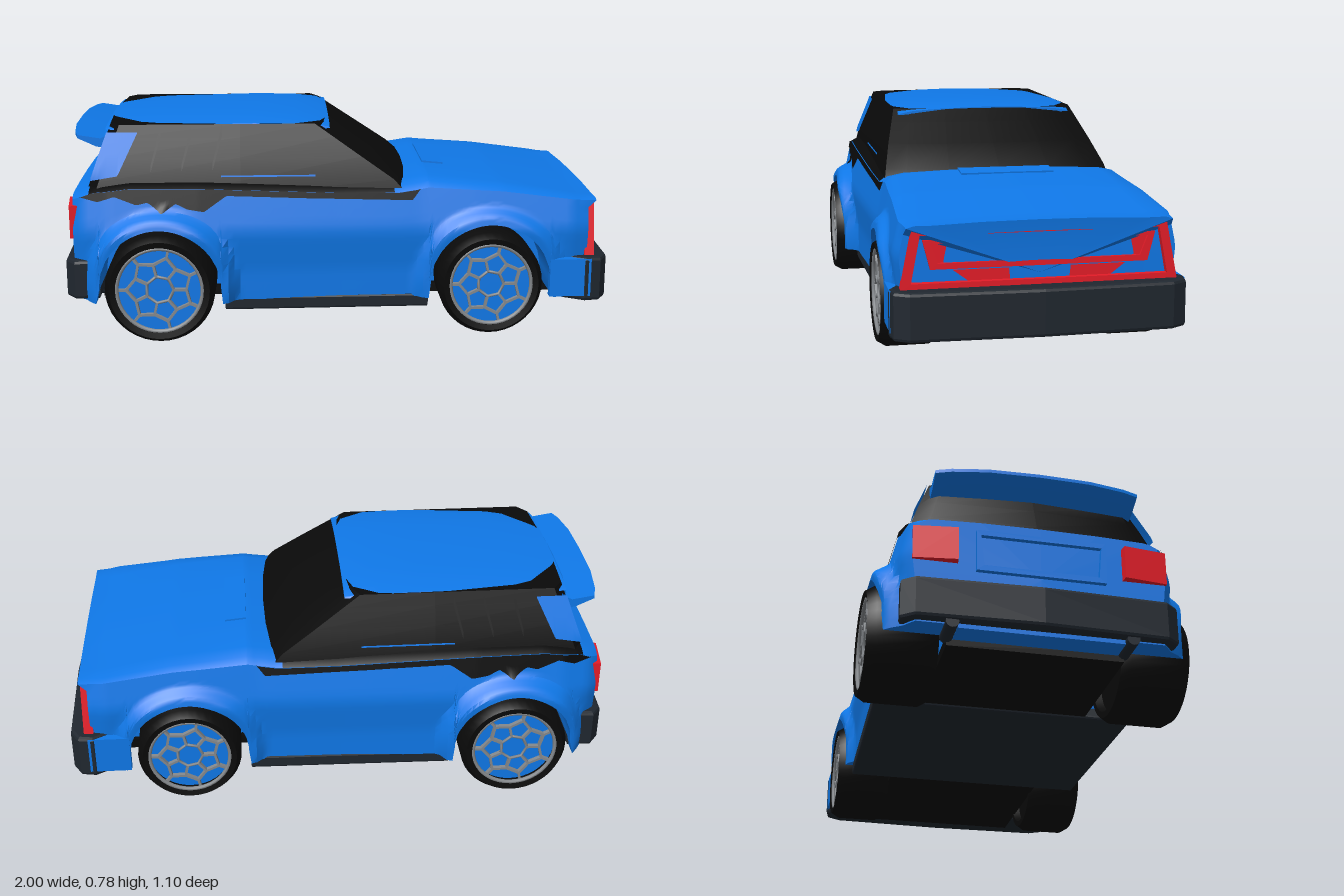
import * as THREE from 'three';
import { toCreasedNormals } from 'three/addons/utils/BufferGeometryUtils.js';

const mat = (color, side = THREE.FrontSide) => new THREE.MeshStandardMaterial({ color, side });
const BLUE = mat(0x0f78e8), BLACK = mat(0x0a0a0a), DARK = mat(0x20272f), RED = mat(0xe51c28), GREY = mat(0x85898d);
const BLUE2 = mat(0x0f78e8, THREE.DoubleSide), BLACK2 = mat(0x0a0a0a, THREE.DoubleSide);
const WHEELS = [
  { name: 'rearWheel', x: -0.64, R: 0.197, z: 0.432, w: 0.24, flare: 0.05 },
  { name: 'frontWheel', x: 0.555, R: 0.19, z: 0.4, w: 0.21, flare: 0.03 },
];
const ARCH = 0.218, AXLE = 0.198;

// piecewise linear lookup through [x, value] pairs
function lerpPts(pts, x) {
  if (x <= pts[0][0]) return pts[0][1];
  for (let i = 1; i < pts.length; i++) {
    const [a, va] = pts[i - 1], [b, vb] = pts[i];
    if (x <= b) return va + (vb - va) * (x - a) / (b - a);
  }
  return pts[pts.length - 1][1];
}

// skin closed rings of [x,y,z] with end caps; pick(i,j) = 1 selects the second material
function loft(name, rings, mats, pick = () => 0, crease = 0.5) {
  const n = rings[0].length, pos = rings.flat(2), idx = [[], []];
  for (let i = 0; i < rings.length - 1; i++) for (let j = 0; j < n; j++) {
    const a = i * n + j, b = i * n + (j + 1) % n;
    idx[pick(i, j)].push(a, b, a + n, b, b + n, a + n);
  }
  [0, rings.length - 1].forEach((r, end) => {
    const c = [0, 1, 2].map(k => rings[r].reduce((s, p) => s + p[k], 0) / n), ci = pos.length / 3;
    pos.push(...c);
    for (let j = 0; j < n; j++) {
      const a = r * n + j, b = r * n + (j + 1) % n;
      idx[0].push(...(end ? [a, b, ci] : [b, a, ci]));
    }
  });
  // turn all faces outward
  let vol = 0;
  const v = i => new THREE.Vector3(...pos.slice(i * 3, i * 3 + 3));
  for (const t of idx) for (let k = 0; k < t.length; k += 3) vol += v(t[k]).dot(v(t[k + 1]).cross(v(t[k + 2])));
  if (vol < 0) idx.forEach(t => t.reverse());
  let g = new THREE.BufferGeometry();
  g.setAttribute('position', new THREE.Float32BufferAttribute(pos, 3));
  g.setIndex([...idx[0], ...idx[1]]);
  g.addGroup(0, idx[0].length, 0);
  g.addGroup(idx[0].length, idx[1].length, 1);
  g = toCreasedNormals(g, crease);
  const m = new THREE.Mesh(g, mats);
  m.name = name;
  return m;
}
// full ring from a half section of [z, y] running from top centre to bottom centre
const mirrorRing = (x, half) => [...half, ...half.slice(1, -1).reverse().map(([z, y, dx]) => [-z, y, dx])]
  .map(([z, y, dx = 0]) => [x + dx, y, z]);

// body shape rules
const topY = x => lerpPts([[-0.955, 0.53], [-0.88, 0.56], [-0.75, 0.578], [-0.5, 0.58], [0, 0.565], [0.22, 0.565], [0.33, 0.582], [0.6, 0.556], [0.92, 0.505]], x);
const shoulderY = x => topY(x) - lerpPts([[-0.9, 0.025], [0.3, 0.04], [0.9, 0.015]], x);
const width = x => lerpPts([[-0.955, 0.43], [-0.92, 0.46], [-0.82, 0.485], [-0.5, 0.49], [0, 0.475], [0.3, 0.468], [0.5, 0.475], [0.85, 0.48], [0.91, 0.465]], x);
const archY = x => {
  for (const w of WHEELS) if (Math.abs(x - w.x) < ARCH) return AXLE + Math.sqrt(ARCH ** 2 - (x - w.x) ** 2);
  return 0.14;
};
function sideZ(x, y) {
  let z = width(x) - 0.22 * Math.max(0, y - 0.4) - (y < 0.38 ? 0.12 * Math.min(0.38 - y, 0.13) : 0);
  for (const w of WHEELS) z += w.flare * (1 - THREE.MathUtils.smoothstep(Math.hypot(x - w.x, y - AXLE), 0.24, 0.285));
  return z;
}
const cabinW = y => lerpPts([[0.52, 0.43], [0.6, 0.412], [0.765, 0.352]], y);

function buildBody() {
  const xs = [];
  for (let i = 0; i <= 90; i++) xs.push(-0.955 + 1.865 * i / 90);
  for (const w of WHEELS) for (const s of [-1, 1]) xs.push(w.x + s * ARCH, w.x + s * (ARCH - 0.001), w.x + s * (ARCH - 0.008));
  xs.sort((a, b) => a - b);
  const rows = 14;
  const rings = xs.map((x, i) => {
    const T = topY(x), S = shoulderY(x), B = archY(x), lip = i === xs.length - 1 ? 0.03 : 0;
    const zs = sideZ(x, S);
    const half = [[0, T, lip], [0.2, T - 0.002, lip], [0.36, T - 0.008, lip], [zs - 0.025, (T + S) / 2, lip]];
    for (let k = 0; k <= rows; k++) {
      const y = S + (B - S) * k / rows;
      half.push([sideZ(x, y), y, k < 1 ? lip : 0]);
    }
    half.push([0.28, B], [0.28, 0.13], [0, 0.13]);
    return mirrorRing(x, half);
  });
  const n = rings[0].length;
  // dark shelf beside the cabin
  return loft('body', rings, [BLUE, BLACK], (i, j) =>
    xs[i] > -0.9 && xs[i] < 0.2 && [2, 3, n - 3, n - 4].includes(j) ? 1 : 0);
}

// thin patch laid on both sides of the car between two edge lines
function sidePatch(group, name, top, bottom, zAt, material, cols = 90, rows = 4) {
  const x0 = bottom[0][0], x1 = bottom[bottom.length - 1][0];
  for (const s of [1, -1]) {
    const g = new THREE.PlaneGeometry(1, 1, cols, rows), p = g.attributes.position;
    for (let i = 0; i < p.count; i++) {
      const x = x0 + (x1 - x0) * (p.getX(i) + 0.5), t = p.getY(i) + 0.5;
      const b = lerpPts(bottom, x), y = b + Math.max(0, top(x) - b) * t;
      p.setXYZ(i, x, y, s * (zAt(x, y) + 0.004));
    }
    if (s < 0) g.index.array.reverse();
    g.computeVertexNormals();
    const m = new THREE.Mesh(g, material);
    m.name = name;
    group.add(m);
  }
}

function buildCabin() {
  const g = new THREE.Group();
  g.name = 'cabin';
  const rings = [0.52, 0.57, 0.65, 0.72, 0.765].map(y => {
    const f = lerpPts([[0.52, 0.31], [0.57, 0.265], [0.765, -0.02]], y), r = lerpPts([[0.52, -0.925], [0.765, -0.835]], y), w = cabinW(y);
    const half = [[f, 0], [f - 0.008, 0.45 * w], [f - 0.03, 0.82 * w], [f - 0.06, w], [-0.35, w], [r + 0.05, w], [r + 0.015, 0.86 * w], [r, 0]];
    return [...half, ...half.slice(1, -1).reverse().map(([x, z]) => [x, -z])].map(([x, z]) => [x, y, z]);
  });
  g.add(loft('glass', rings, [BLACK, BLACK]));
  // crowned roof skin
  const roof = [-0.835, -0.8, -0.65, -0.45, -0.3, -0.15, -0.06, -0.025].map(x => {
    const y = lerpPts([[-0.835, 0.768], [-0.65, 0.78], [-0.3, 0.787], [-0.1, 0.783], [-0.025, 0.77]], x);
    const w = lerpPts([[-0.835, 0.325], [-0.78, 0.343], [-0.1, 0.35], [-0.025, 0.33]], x);
    return mirrorRing(x, [[0, y], [w * 0.5, y - 0.004], [w * 0.85, y - 0.011], [w, y - 0.02], [w + 0.007, 0.745], [0, 0.745]]);
  });
  g.add(loft('roof', roof, [BLUE, BLUE]));
  // rear pillar, window divider bars and sill line
  const cz = (x, y) => cabinW(y);
  sidePatch(g, 'rearPillar', x => lerpPts([[-0.885, 0.585], [-0.83, 0.74], [-0.72, 0.74]], x),
    [[-0.885, 0.575], [-0.79, 0.59], [-0.72, 0.735]], cz, BLUE2, 30);
  for (const x of [-0.67, -0.56, -0.45]) sidePatch(g, 'windowBar', q => lerpPts([[x, 0.6], [x + 0.035, 0.735]], q) + 0.03,
    [[x, 0.605], [x + 0.035, 0.725]], (q, y) => cabinW(y) + 0.004, BLACK2, 6);
  sidePatch(g, 'windowSill', () => 0.59, [[-0.42, 0.584], [-0.08, 0.584]], cz, BLUE2, 4);
  return g;
}

// extrude a plan outline of [x, z] upward from y0 to y1
function planSlab(name, pts, y0, y1, material, bevel = 0.008) {
  const s = new THREE.Shape(pts.map(([x, z]) => new THREE.Vector2(x, -z)));
  const geo = new THREE.ExtrudeGeometry(s, { depth: y1 - y0 - 2 * bevel, bevelSize: bevel, bevelThickness: bevel, bevelOffset: -bevel, bevelSegments: 2 });
  geo.rotateX(-Math.PI / 2).translate(0, y0 + bevel, 0);
  const m = new THREE.Mesh(geo, material);
  m.name = name;
  return m;
}
const symPlan = half => [...half, ...half.slice().reverse().map(([x, z]) => [x, -z])];

// plate facing along x: symmetric outline of [z, y] with an optional hole
function facePlate(name, half, hole, x0, depth, material) {
  const v = h => symPlan2(h).map(p => new THREE.Vector2(...p));
  const s = new THREE.Shape(v(half));
  if (hole) s.holes.push(new THREE.Path(v(hole)));
  const m = new THREE.Mesh(new THREE.ExtrudeGeometry(s, { depth, bevelEnabled: false }).rotateY(Math.PI / 2).translate(x0, 0, 0), material);
  m.name = name;
  return m;
}
const symPlan2 = half => [...half, ...half.slice().reverse().map(([z, y]) => [-z, y])];

function box(name, sx, sy, sz, x, y, z, material) {
  const m = new THREE.Mesh(new THREE.BoxGeometry(sx, sy, sz), material);
  m.name = name;
  m.position.set(x, y, z);
  return m;
}

function buildWheel({ name, R, w }) {
  const g = new THREE.Group(), h = w / 2, r = R * 0.8;
  g.name = name;
  const add = (n, geo, material) => {
    const m = new THREE.Mesh(geo, material);
    m.name = n;
    g.add(m);
    return m;
  };
  const profile = [[r, -h + 0.03], [r, -h], [R - 0.018, -h], [R, -h + 0.03], [R, h - 0.03], [R - 0.018, h], [r, h - 0.004], [r - 0.004, h - 0.05]];
  const tyre = new THREE.LatheGeometry(profile.map(p => new THREE.Vector2(...p)), 40).rotateX(Math.PI / 2);
  add('tyre', toCreasedNormals(tyre, 0.6), BLACK2);
  add('wheelDisc', new THREE.CylinderGeometry(r, r, 0.02, 32).rotateX(Math.PI / 2).translate(0, 0, h - 0.045), BLUE);
  add('innerDisc', new THREE.CylinderGeometry(r, r, 0.02, 32).rotateX(Math.PI / 2).translate(0, 0, -h + 0.04), BLACK);
  add('rimRing', new THREE.TorusGeometry(r - 0.004, 0.008, 6, 40).translate(0, 0, h - 0.012), GREY);
  add('hubRing', new THREE.TorusGeometry(r * 0.32, 0.006, 6, 7).translate(0, 0, h - 0.018), GREY);
  // honeycomb spokes
  const at = (a, q) => new THREE.Vector2(Math.cos(a) * q, Math.sin(a) * q);
  const bar = (a, b) => {
    const m = add('spoke', new THREE.BoxGeometry(a.distanceTo(b), 0.009, 0.016), GREY);
    m.position.set((a.x + b.x) / 2, (a.y + b.y) / 2, h - 0.02);
    m.rotation.z = Math.atan2(b.y - a.y, b.x - a.x);
  };
  const step = Math.PI * 2 / 7;
  for (let i = 0; i < 7; i++) {
    const a = i * step, fork = at(a, r * 0.6);
    bar(at(a, r * 0.32), fork);
    for (const s of [-1, 1]) bar(fork, at(a + s * step / 2, r * 0.76));
    bar(at(a + step / 2, r * 0.76), at(a + step / 2, r));
  }
  return g;
}

export function createModel() {
  const car = new THREE.Group();
  car.name = 'car';
  car.add(buildBody(), buildCabin());

  // jagged dark side band
  sidePatch(car, 'sideBand', shoulderY, [[-0.93, 0.52], [-0.86, 0.505], [-0.8, 0.525], [-0.72, 0.495], [-0.68, 0.505], [-0.63, 0.465],
    [-0.58, 0.5], [-0.54, 0.48], [-0.48, 0.47], [-0.4, 0.525], [-0.1, 0.512], [0.27, 0.5], [0.3, 0.54]], sideZ, BLACK2, 120);

  // underside, sills
  car.add(box('underTray', 1.74, 0.035, 0.6, 0, 0.125, 0, BLACK));
  car.add(planSlab('sill', symPlan([[-0.41, 0.47], [0.33, 0.455]]), 0.1, 0.15, DARK));

  // bumpers
  car.add(planSlab('frontBumper', symPlan([[0.8, 0.44], [0.9, 0.5], [0.955, 0.49], [0.985, 0.44], [0.998, 0]]), 0.125, 0.29, DARK, 0.012));
  for (const s of [1, -1]) car.add(box('bumperSide', 0.15, 0.14, 0.03, 0.845, 0.215, s * 0.483, BLUE));
  car.add(planSlab('rearBumper', symPlan([[-0.86, 0.46], [-0.95, 0.465], [-0.985, 0.42], [-0.999, 0]]), 0.145, 0.29, DARK, 0.012));

  // nose grille
  car.add(facePlate('grilleFrame', [[0.465, 0.285], [0.425, 0.487]], [[0.43, 0.308], [0.4, 0.465]], 0.9, 0.035, RED));
  car.add(facePlate('grilleInsert', [[0.365, 0.35], [0.39, 0.448]], [[0.34, 0.37], [0.365, 0.435]], 0.9, 0.022, RED));
  car.add(facePlate('grilleCore', [[0.345, 0.365], [0.37, 0.44]], null, 0.9, 0.012, RED));
  car.add(facePlate('grilleLower', [[0.23, 0.3], [0.29, 0.345]], null, 0.9, 0.015, RED));
  car.add(facePlate('grilleTop', [[0.4, 0.462], [0.41, 0.48]], null, 0.9, 0.02, RED));

  // hood vent
  const vent = box('hoodVent', 0.08, 0.012, 0.34, 0.37, 0.577, 0, BLUE);
  vent.rotation.z = -0.1;
  car.add(vent);

  // tail
  for (const s of [1, -1]) {
    const lamp = box('tailLamp', 0.035, 0.12, 0.15, -0.957, 0.425, s * 0.355, RED);
    lamp.rotation.y = s * 0.12;
    car.add(lamp);
    const pipe = new THREE.Mesh(new THREE.CylinderGeometry(0.022, 0.022, 0.12, 16).rotateZ(Math.PI / 2), DARK);
    pipe.name = 'exhaust';
    pipe.position.set(-0.92, 0.14, s * 0.3);
    car.add(pipe);
  }
  car.add(facePlate('plateFrame', [[0.22, 0.34], [0.22, 0.49]], [[0.195, 0.36], [0.205, 0.472]], -0.972, 0.025, BLUE));

  // roof spoiler, swept forward at its ends
  const profile = [[-0.82, 0.745], [-0.86, 0.725], [-0.965, 0.742], [-0.965, 0.73], [-0.9, 0.7], [-0.82, 0.69]];
  const spoiler = [-1, -0.85, -0.5, 0, 0.5, 0.85, 1].map(t => profile.map(([x, y]) =>
    [x + (x < -0.84 ? 0.03 * t ** 4 : 0), y - 0.012 * t * t, 0.355 * t]));
  car.add(loft('spoiler', spoiler, [BLUE, BLUE]));

  // wheels
  for (const w of WHEELS) for (const s of [1, -1]) {
    const wheel = buildWheel(w);
    wheel.position.set(w.x, w.R + 0.003, s * w.z);
    if (s < 0) wheel.rotation.y = Math.PI;
    car.add(wheel);
  }
  return car;
}
